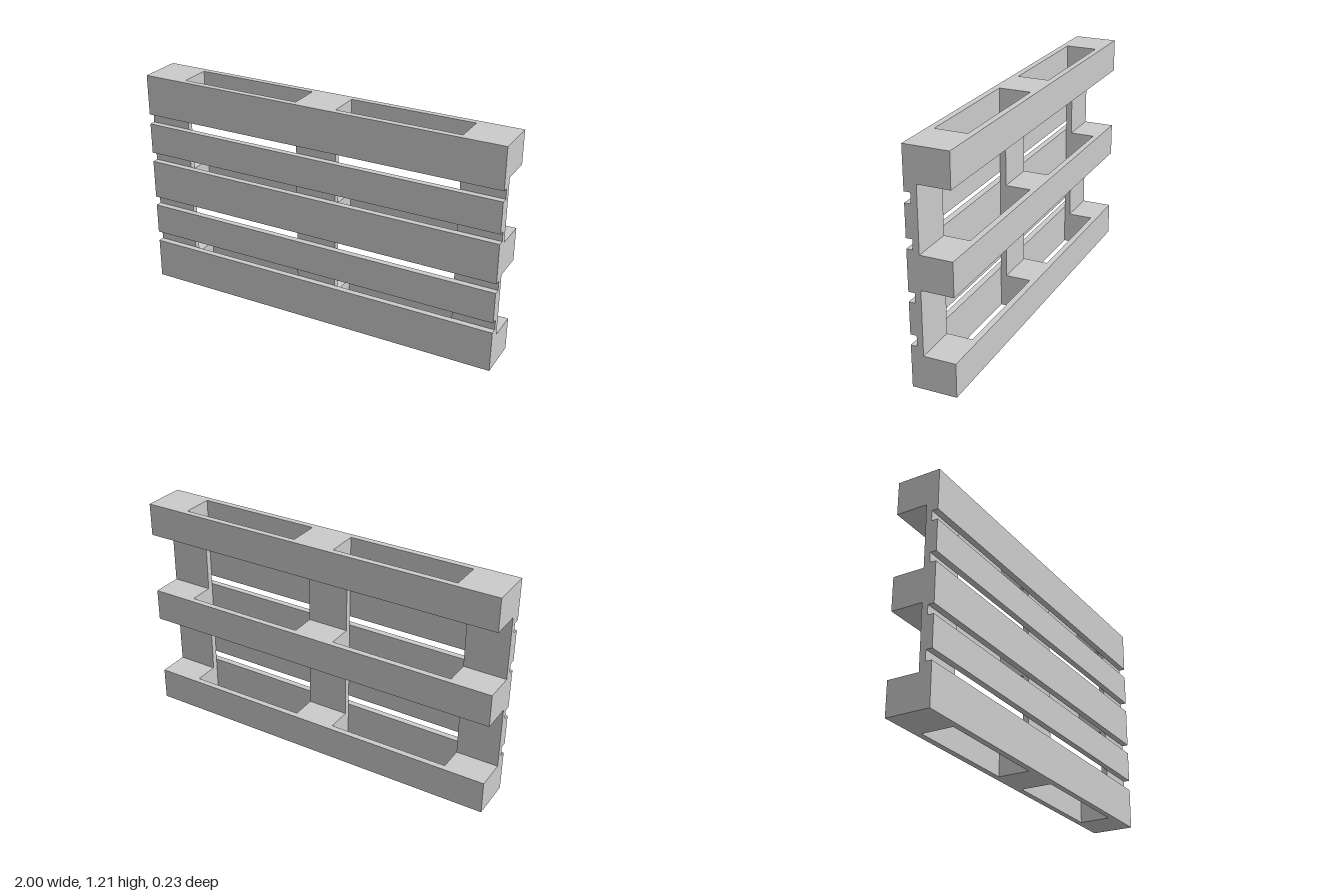
import * as THREE from 'three';

// A shipping pallet standing on its long edge, deck facing +z.
export function createModel() {
  const group = new THREE.Group();
  const material = new THREE.MeshStandardMaterial({ color: 0xcccccc, flatShading: true });

  // Box given by its extents along each axis
  const plank = (name, [x0, x1], [y0, y1], [z0, z1]) => {
    const mesh = new THREE.Mesh(new THREE.BoxGeometry(x1 - x0, y1 - y0, z1 - z0), material);
    mesh.position.set((x0 + x1) / 2, (y0 + y1) / 2, (z0 + z1) / 2);
    mesh.name = name;
    group.add(mesh);
  };

  const height = 1.205;
  const width = [-1, 1];
  const columns = [[-1, -0.773], [-0.112, 0.112], [0.773, 1]];
  const deckRows = [[0, 0.222], [0.278, 0.446], [0.497, 0.711], [0.763, 0.931], [0.985, height]];
  const runnerRows = [[0, 0.178], [0.516, 0.692], [1.028, height]];

  // Layer boundaries from back to front
  const [back, runnerFront, blockFront, stringerFront, front] = [-0.116, -0.084, 0.051, 0.083, 0.116];

  // Five deck boards across the front
  deckRows.forEach((row) => plank('deckBoard', width, row, [stringerFront, front]));

  // Three stringers behind the deck
  columns.forEach((column) => plank('stringer', column, [0, height], [blockFront, stringerFront]));

  // Three runners at the back, each joined to the stringers by three blocks
  runnerRows.forEach((row) => {
    plank('runnerBoard', width, row, [back, runnerFront]);
    columns.forEach((column) => plank('spacerBlock', column, row, [runnerFront, blockFront]));
  });

  return group;
}
